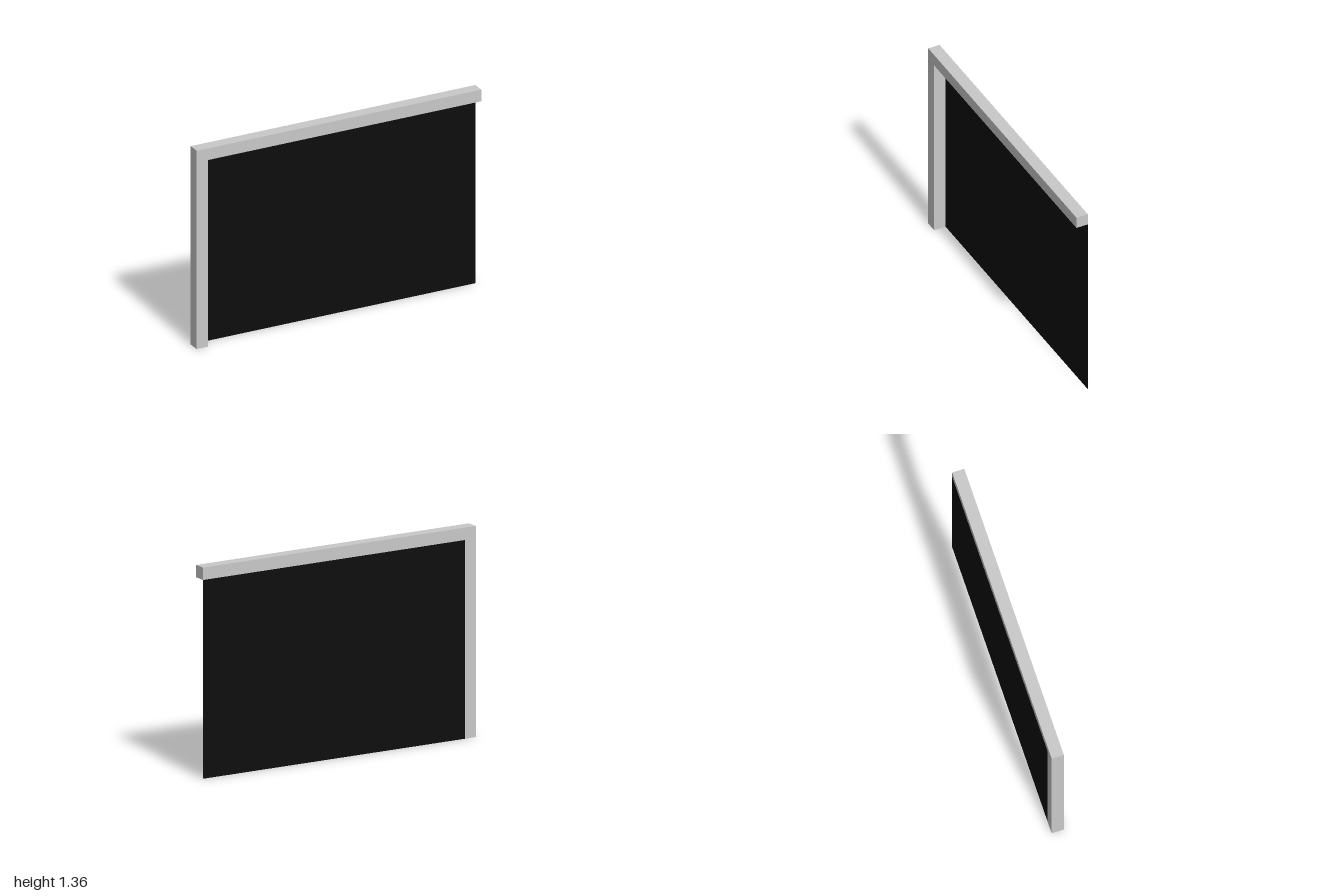
import * as THREE from 'three';

const HEIGHT = 1.36; // overall height
const BAR = 0.08; // thickness of the frame bars

export function createModel() {
  const model = new THREE.Group();
  model.name = 'framedPanel';

  const frameGrey = new THREE.MeshStandardMaterial({ color: 0xc9c9c9 });
  frameGrey.name = 'frame grey';
  const panelBlack = new THREE.MeshStandardMaterial({ color: 0x0d0d0d, side: THREE.DoubleSide });
  panelBlack.name = 'panel black';

  // L-shaped frame: upright post on the right and a beam along the top
  const outline = new THREE.Shape([
    [-1, 0], [-1 + BAR, 0], [-1 + BAR, HEIGHT - BAR],
    [1, HEIGHT - BAR], [1, HEIGHT], [-1, HEIGHT],
  ].map(([x, y]) => new THREE.Vector2(x, y)));
  const frameGeometry = new THREE.ExtrudeGeometry(outline, { depth: BAR, bevelEnabled: false });
  frameGeometry.translate(0, 0, -BAR / 2);
  const frame = new THREE.Mesh(frameGeometry, frameGrey);
  frame.name = 'frame';

  // Thin sheet filling the opening, flush with the back of the frame
  const width = 2 - BAR;
  const height = HEIGHT - BAR;
  const panel = new THREE.Mesh(new THREE.PlaneGeometry(width, height), panelBlack);
  panel.position.set(BAR / 2, height / 2, -BAR / 2);
  panel.name = 'panel';

  model.add(frame, panel);
  return model;
}
